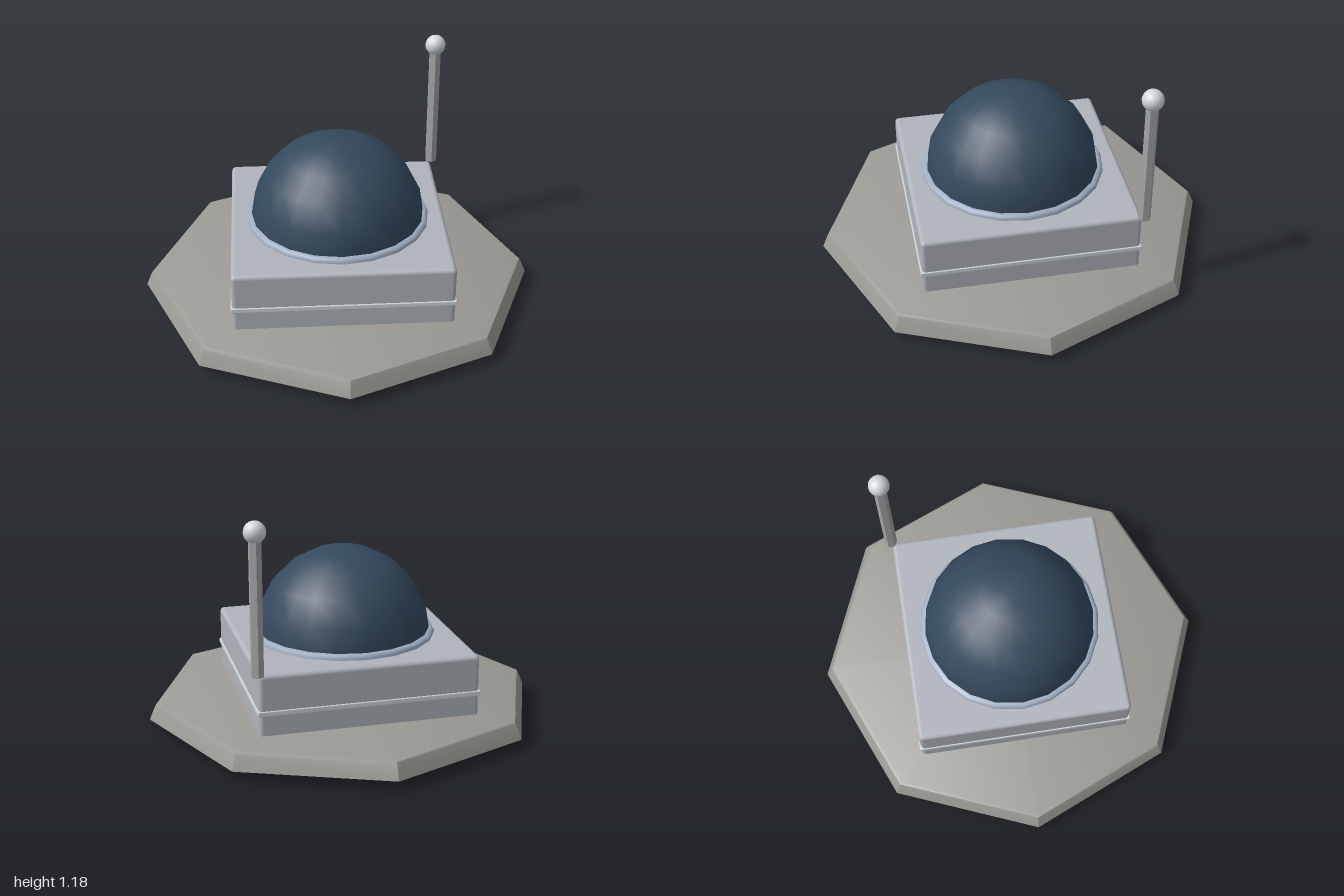
import * as THREE from 'three';
import { toCreasedNormals } from 'three/addons/utils/BufferGeometryUtils.js';
import { RoundedBoxGeometry } from 'three/addons/geometries/RoundedBoxGeometry.js';

export function createModel() {
  const model = new THREE.Group();

  const add = (name, geometry, color, x = 0, y = 0, z = 0) => {
    const mesh = new THREE.Mesh(geometry, new THREE.MeshStandardMaterial({ color }));
    mesh.name = name;
    mesh.position.set(x, y, z);
    model.add(mesh);
    return mesh;
  };

  // Faceted solid of revolution; profile runs from the bottom outwards and up
  const turned = (profile, sides, crease) => toCreasedNormals(
    new THREE.LatheGeometry(profile.map(([r, y]) => new THREE.Vector2(r, y)), sides), crease);

  // Octagonal ground plate with a bevelled rim
  add('basePlate', turned([
    [0, 0.05], [1, 0.05], [0.972, 0.118], [0.964, 0.13], [0.948, 0.136], [0, 0.136],
  ], 8, 0.6), 0x9c9a95);

  // Square housing and the trim band around it
  add('housing', new RoundedBoxGeometry(1.09, 0.34, 1.09, 2, 0.022), 0xb0b4bc, 0, 0.27, 0);
  add('trimBand', new RoundedBoxGeometry(1.102, 0.026, 1.102, 1, 0.005), 0xd0d8da, 0, 0.247, 0);

  // Collar seating the dome
  add('domeCollar', turned([
    [0.42, 0.43], [0.465, 0.43], [0.465, 0.45], [0.457, 0.462], [0.447, 0.466], [0.42, 0.466], [0.42, 0.43],
  ], 20, 0.7), 0xa0aec2);

  // Full sphere: its underside shows through the plate
  add('dome', new THREE.SphereGeometry(0.442, 20, 10), 0x34495e, 0, 0.442, 0);

  // Antenna on the back left corner
  const rod = toCreasedNormals(new THREE.CylinderGeometry(0.032, 0.032, 0.66, 6), 0.6);
  add('antennaRod', rod, 0xa6a6a8, 0.55, 0.77, -0.55);
  add('antennaTip', new THREE.SphereGeometry(0.053, 16, 12), 0xd0d8da, 0.55, 1.128, -0.55);

  return model;
}
